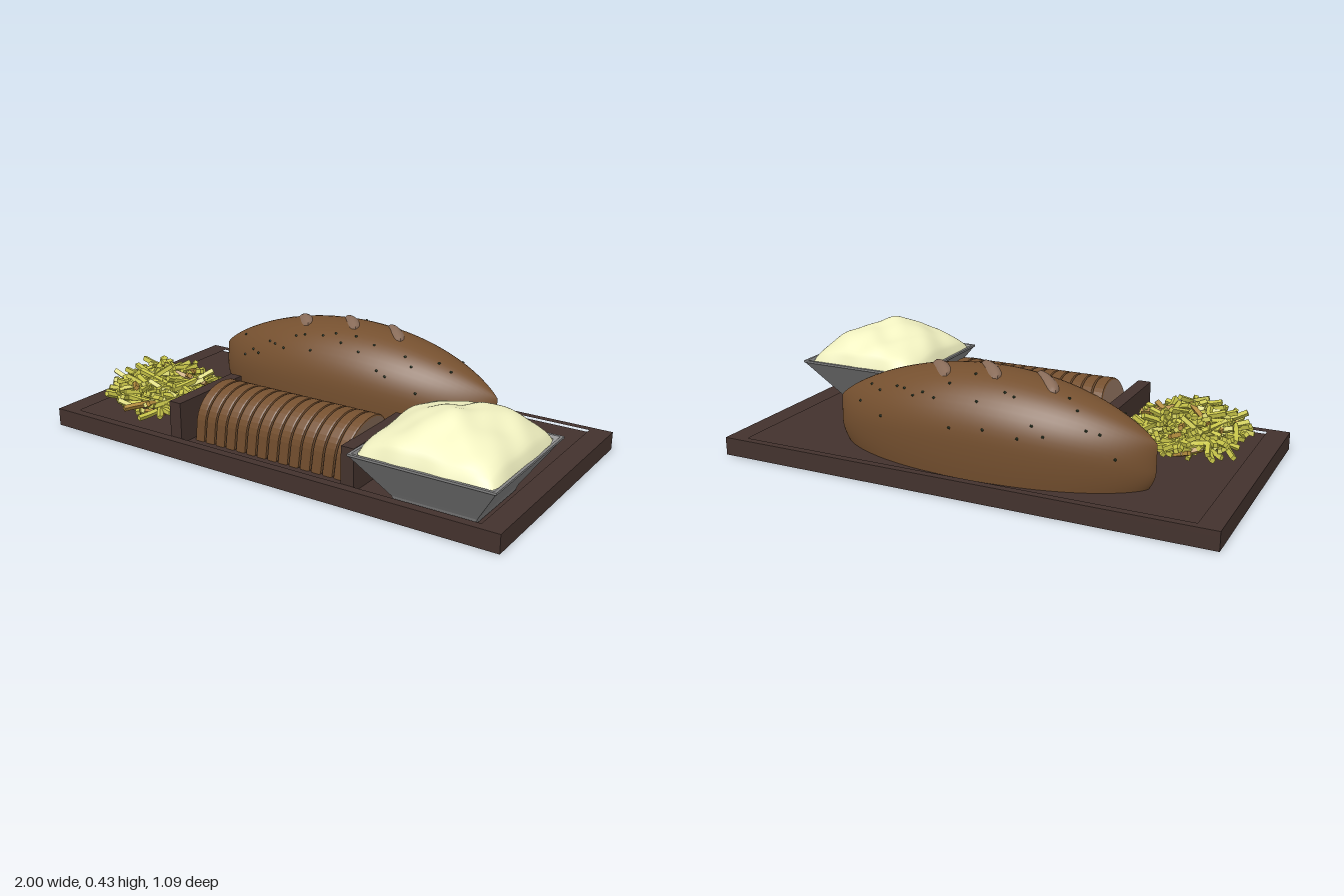
import * as THREE from 'three';
import { mergeGeometries } from 'three/addons/utils/BufferGeometryUtils.js';
import { ParametricGeometry } from 'three/addons/geometries/ParametricGeometry.js';

const FLOOR = 0.05;      // floor of the tray recess
const RIM = 0.072;       // top of the tray border
const LOAF = { x: -0.035, z: -0.267, half: 0.655 };

const mat = (color, extra = {}) => new THREE.MeshStandardMaterial({ color, ...extra });
const wood = mat(0x43322d), crust = mat(0x75502f), darkCrust = mat(0x4a301d), crumb = mat(0x8a6d5a);

let seed = 7;
const rand = (a = 0, b = 1) => {
  seed = (seed * 16807) % 2147483647;
  return a + (b - a) * seed / 2147483647;
};

function add(parent, name, geometry, material, x = 0, y = 0, z = 0) {
  const mesh = new THREE.Mesh(geometry, material);
  mesh.name = name;
  mesh.position.set(x, y, z);
  parent.add(mesh);
  return mesh;
}

function surface(fn, nu, nv) {
  const g = new ParametricGeometry(fn, nu, nv);
  g.computeVertexNormals();
  return g;
}

// Loaf cross-section at U in -1..1 along its length
function loafSection(U) {
  const w = 0.217 * Math.pow(1 - Math.pow(Math.abs(U), 2.2), 0.7);
  const h = 0.22 + 0.205 * Math.pow(1 - U * U, 0.8);
  return { w, h, waist: FLOOR + 0.42 * (h - FLOOR) };
}

// Point on the loaf: s runs 1 (front foot) over the top to -1 (back foot)
function loafPoint(U, s, target) {
  const { w, h, waist } = loafSection(U);
  const side = Math.sign(s), a = Math.abs(s);
  if (a > 0.65) {
    const k = (a - 0.65) / 0.35;
    return target.set(LOAF.x + LOAF.half * U * (1 - 0.04 * k * k),
      waist + (FLOOR - waist) * k, LOAF.z + side * w * (1 - 0.07 * k * k));
  }
  const t = (a / 0.65) * Math.PI / 2;
  return target.set(LOAF.x + LOAF.half * U, waist + (h - waist) * Math.cos(t), LOAF.z + side * w * Math.sin(t));
}

function loafTop(x, z) {
  const { w, h, waist } = loafSection((x - LOAF.x) / LOAF.half);
  return waist + (h - waist) * Math.sqrt(Math.max(0, 1 - ((z - LOAF.z) / w) ** 2));
}

function makeTray() {
  const tray = new THREE.Group();
  tray.name = 'tray';
  const rect = (P, x0, z0, x1, z1) => new P([[x0, -z0], [x1, -z0], [x1, -z1], [x0, -z1]].map(p => new THREE.Vector2(...p)));
  const border = rect(THREE.Shape, -1, -0.545, 0.99, 0.475);
  border.holes.push(rect(THREE.Path, -0.915, -0.515, 0.905, 0.44));
  const g = new THREE.ExtrudeGeometry(border, { depth: RIM - FLOOR, bevelEnabled: false });
  g.rotateX(-Math.PI / 2);
  add(tray, 'trayBorder', g, wood, 0, FLOOR, 0);
  add(tray, 'trayBase', new THREE.BoxGeometry(1.99, FLOOR, 1.02), wood, -0.005, FLOOR / 2, -0.035);
  for (const x of [-0.397, 0.385])
    add(tray, 'divider', new THREE.BoxGeometry(0.053, 0.165, 0.38), wood, x, FLOOR + 0.0825, 0.247);
  return tray;
}

function makeLoaf() {
  const loaf = new THREE.Group();
  loaf.name = 'loaf';
  add(loaf, 'loafCrust', surface((u, v, p) =>
    loafPoint(0.9995 * Math.sin(Math.PI * (u - 0.5)), 1 - 2 * v, p), 48, 40), crust);

  // Raised pale scores across the top
  for (const [x0, z0] of [[-0.33, -0.335], [-0.11, -0.35], [0.09, -0.365]]) {
    add(loaf, 'score', surface((u, v, p) => {
      const half = 0.026 * Math.pow(Math.max(0, 1 - (2 * u - 1) ** 4), 0.5);
      const d = (2 * v - 1) * half;
      const x = x0 + 0.125 * u + d * 0.75, z = z0 + 0.15 * u - d * 0.65;
      p.set(x, loafTop(x, z) - 0.002 + 0.012 * (1 - (2 * v - 1) ** 2), z);
    }, 16, 8), crumb);
  }

  // Herb specks
  const specks = [], p = new THREE.Vector3();
  for (let i = 0; i < 48; i++) {
    loafPoint(-0.82 + 1.64 * ((i + rand(0, 0.8)) / 48), (i % 2 ? 1 : -1) * rand(0.12, 0.62), p);
    specks.push(new THREE.IcosahedronGeometry(0.006, 0).translate(p.x, p.y, p.z));
  }
  add(loaf, 'herbSpecks', mergeGeometries(specks), mat(0x2a3a24, { flatShading: true }));
  return loaf;
}

// Domed bread slab, extruded along x and leaning towards +x
function breadSlab(scale, depth, bevel) {
  const w = 0.128 * scale, top = 0.085 * scale;
  const s = new THREE.Shape();
  s.moveTo(-w * 0.95, 0);
  s.lineTo(w * 0.95, 0);
  s.lineTo(w, top);
  s.bezierCurveTo(w, 0.238 * scale, -w, 0.238 * scale, -w, top);
  const g = new THREE.ExtrudeGeometry(s, {
    depth, bevelEnabled: bevel > 0, bevelSize: bevel, bevelThickness: bevel, bevelSegments: 2, curveSegments: 20
  });
  g.rotateY(Math.PI / 2);
  g.applyMatrix4(new THREE.Matrix4().set(1, 0.17, 0, 0, 0, 1, 0, 0, 0, 0, 1, 0, 0, 0, 0, 1));
  return g;
}

function makeSlices() {
  const row = new THREE.Group();
  row.name = 'slicedBread';
  const slice = breadSlab(1, 0.03, 0.008);
  for (let i = 0; i < 14; i++)
    add(row, 'slice', slice, [crumb, crust], -0.343 + i * 0.0492, FLOOR + 0.008, 0.25);
  add(row, 'sliceGaps', breadSlab(0.97, 0.64, 0), darkCrust, -0.33, FLOOR, 0.25);
  return row;
}

function makeFries() {
  const normal = [], toasted = [], up = new THREE.Vector3(0, 0, 1);
  for (let i = 0; i < 300; i++) {
    // Scatter through a low heap, denser near its surface
    const a = rand(0, Math.PI * 2), r = 0.2 * Math.sqrt(rand());
    const crown = 0.145 * (1 - (r / 0.235) ** 2.6);
    const y = FLOOR + 0.022 + crown * Math.sqrt(rand(0.02, 1)) + 0.012;
    const len = rand(0.07, 0.14), yaw = rand(0, Math.PI * 2);
    const lift = Math.min(0.45, Math.max(0.05, (y - FLOOR - 0.012) / len));
    const g = new THREE.BoxGeometry(0.018, 0.017, len, 1, 1, 4);
    const pos = g.attributes.position, bend = rand(-1.2, 1.2);
    for (let k = 0; k < pos.count; k++) pos.setX(k, pos.getX(k) + bend * pos.getZ(k) ** 2);
    const dir = new THREE.Vector3(Math.cos(yaw), rand(-lift, lift), Math.sin(yaw)).normalize();
    g.rotateZ(rand(0, 3));
    g.applyQuaternion(new THREE.Quaternion().setFromUnitVectors(up, dir));
    g.translate(-0.67 + r * Math.cos(a), y, 0.185 + r * 1.02 * Math.sin(a));
    (i % 14 ? normal : toasted).push(g);
  }
  const fries = new THREE.Group();
  fries.name = 'fries';
  add(fries, 'goldenFries', mergeGeometries(normal), mat(0xc9c64a, { flatShading: true }));
  add(fries, 'toastedFries', mergeGeometries(toasted), mat(0xb08a3c, { flatShading: true }));
  return fries;
}

function makeBowl() {
  const bowl = new THREE.Group();
  bowl.name = 'mashBowl';
  bowl.position.set(0.722, 0, 0.268);
  // Square tapered dish: a four-sided lathe turned by an eighth
  const profile = [[0, FLOOR + 0.004], [0.155, FLOOR + 0.004], [0.162, 0.075], [0.172, 0.09], [0.266, 0.23], [0.273, 0.236],
    [0.273, 0.244], [0.262, 0.244], [0.24, 0.215], [0, 0.215]].map(([r, y]) => new THREE.Vector2(r * Math.SQRT2, y));
  add(bowl, 'dish', new THREE.LatheGeometry(profile, 4, Math.PI / 4).toNonIndexed(),
    mat(0x808080, { flatShading: true }));

  // Lumpy mound
  add(bowl, 'mash', surface((u, v, p) => {
    const a = 2 * u - 1, b = 1 - 2 * v;
    const mound = Math.pow(Math.max(0, 1 - a * a), 0.55) * Math.pow(Math.max(0, 1 - b * b), 0.5);
    const lumps = 0.07 * Math.sin(5 * a + 2.5 * b + 1) + 0.06 * Math.sin(6 * b - 3 * a)
      + 0.035 * Math.sin(11 * a + 4) * Math.cos(9 * b + 1);
    const wob = 1 + 0.012 * Math.sin(9 * a + 5 * b);
    p.set(0.264 * a * (1 - 0.07 * b ** 6) * wob, 0.238 + 0.138 * mound * (1 + lumps), 0.264 * b * (1 - 0.07 * a ** 6) * wob);
  }, 40, 40), mat(0xf0f0c0, { side: THREE.DoubleSide }));
  return bowl;
}

export function createModel() {
  const model = new THREE.Group();
  model.name = 'breadPlatter';
  model.add(makeTray(), makeLoaf(), makeSlices(), makeFries(), makeBowl());
  return model;
}
